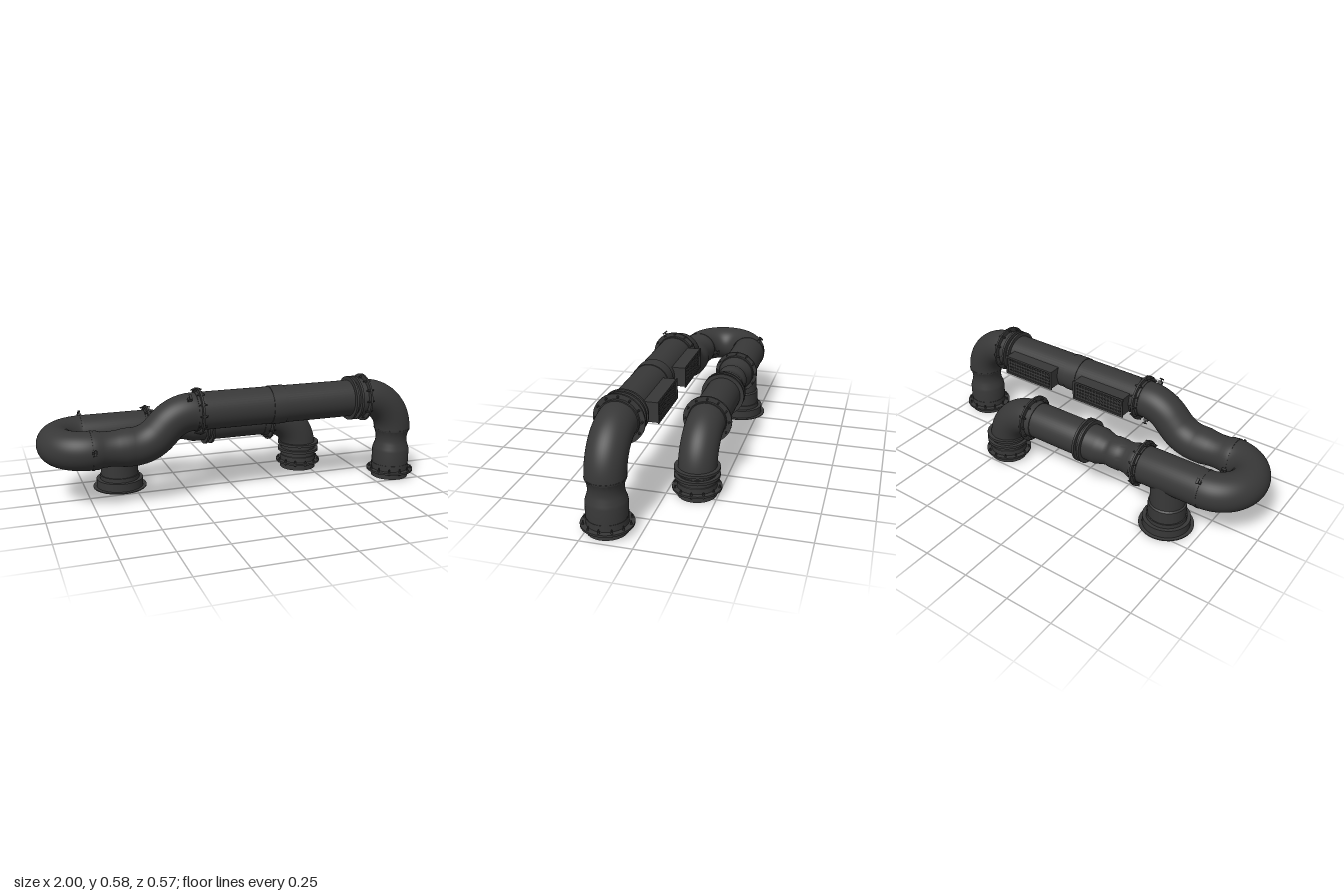
import * as THREE from 'three';
import { toCreasedNormals, mergeGeometries } from 'three/addons/utils/BufferGeometryUtils.js';

const R = 0.095;      // pipe radius
const BEND = 0.19;    // elbow centreline radius
const FZ = 0.159, FY = 0.455;   // front pipe axis
const BZ = -0.145, BY = 0.305;  // rear pipe axis
const V = (x, y, z) => new THREE.Vector3(x, y, z);

// Circular arc: centre + r (u cos t + v sin t)
class Arc extends THREE.Curve {
  constructor(c, u, v, r, angle) {
    super();
    Object.assign(this, { c, u, v, r, angle });
  }
  getPoint(t, target = new THREE.Vector3()) {
    const a = t * this.angle;
    return target.copy(this.c)
      .addScaledVector(this.u, this.r * Math.cos(a))
      .addScaledVector(this.v, this.r * Math.sin(a));
  }
}

export function createModel() {
  const model = new THREE.Group();
  model.name = 'pipework';
  const mat = new THREE.MeshStandardMaterial({ color: 0x383838 });

  const add = (name, geo, pos = V(0, 0, 0), axis = 'y') => {
    const m = new THREE.Mesh(geo, mat);
    m.name = name;
    m.position.copy(pos);
    if (axis === 'x') m.rotation.z = -Math.PI / 2; // local y runs along +x
    model.add(m);
    return m;
  };
  const lathe = (pts, seg = 48) => toCreasedNormals(
    new THREE.LatheGeometry(pts.map(([r, y]) => new THREE.Vector2(r, y)), seg), 0.6);
  const tube = (name, curve, seg = 36) =>
    add(name, new THREE.TubeGeometry(curve, seg, R, 48));

  // Solid collar around a pipe, from a to b along its axis
  const collar = (name, pos, axis, r, a, b) =>
    add(name, lathe([[0.07, a], [r, a], [r, b], [0.07, b]]), pos, axis);

  // Flange disc with a ring of twelve bolts
  const flange = (name, pos, axis, r = 0.124, bolt = 0.04, shift = 0) => {
    collar(name, pos, axis, r, -0.005, 0.005);
    const parts = [];
    for (let i = 0; i < 12; i++) {
      const a = i * Math.PI / 6, x = 0.111 * Math.cos(a), z = 0.111 * Math.sin(a);
      parts.push(new THREE.CylinderGeometry(0.0038, 0.0038, bolt, 8).translate(x, shift, z));
      for (const s of [-1, 1])
        parts.push(new THREE.CylinderGeometry(0.006, 0.006, 0.006, 6).translate(x, s * 0.008, z));
    }
    add(name + 'Bolts', mergeGeometries(parts), pos, axis);
  };

  // Pair of small latches on opposite sides of a joint along x
  const latches = (x, y, z, angle) => {
    for (const k of [0, Math.PI]) {
      const g = new THREE.Group();
      g.name = 'jointLatch';
      const piece = (geo) => g.add(new THREE.Mesh(geo, mat));
      piece(new THREE.BoxGeometry(0.022, 0.014, 0.02).translate(0, 0, R + 0.004));
      piece(new THREE.CylinderGeometry(0.004, 0.004, 0.024, 8).rotateX(Math.PI / 2).translate(0, 0, R + 0.018));
      piece(new THREE.BoxGeometry(0.012, 0.028, 0.006).translate(0, 0, R + 0.026));
      g.position.set(x, y, z);
      g.rotation.x = -(angle + k);
      model.add(g);
    }
  };

  // ---- Front pipe: straight run, elbow and leg ----
  add('frontPipe', lathe([[R, -0.25], [R, 0.685]]), V(0, FY, FZ), 'x');
  collar('frontPipeSleeve', V(0, FY, FZ), 'x', 0.0985, 0.152, 0.228);
  for (const x of [0.605, 0.635]) collar('frontPipeRib', V(x, FY, FZ), 'x', 0.115, -0.006, 0.006);
  collar('frontPipeJoint', V(0, FY, FZ), 'x', 0.1, 0.642, 0.7);
  flange('frontElbowFlange', V(0.68, FY, FZ), 'x');
  collar('frontBendJoint', V(0, FY, FZ), 'x', 0.099, -0.24, -0.2);
  flange('frontBendFlange', V(-0.222, FY, FZ), 'x', 0.118);
  tube('frontElbow', new Arc(V(0.685, FY - BEND, FZ), V(0, 1, 0), V(1, 0, 0), BEND, Math.PI / 2));

  add('frontLeg', lathe([
    [0, 0.1], [0.082, 0.1], [0.082, 0], [0.098, 0], [0.098, 0.075], [0.096, 0.075],
    [0.096, 0.08], [0.098, 0.08], [0.098, 0.15], [0.095, 0.165], [0.086, 0.19],
    [0.083, 0.21], [0.084, 0.235], [0.092, 0.262], [0.096, 0.268], [0.096, 0.273], [0.09, 0.273],
  ]), V(0.875, 0, FZ));
  flange('frontLegFlange', V(0.875, 0.038, FZ), 'y', 0.124, 0.032, 0.007);

  // ---- S-bend down to the lower level ----
  const h = Math.SQRT1_2, sBend = new THREE.CurvePath();
  const upper = new Arc(V(-0.25, FY - BEND, FZ), V(0, 1, 0), V(-1, 0, 0), BEND, Math.PI / 4);
  const lower = new Arc(V(-0.557, BY + BEND, FZ), V(h, -h, 0), V(-h, -h, 0), BEND, Math.PI / 4);
  sBend.add(upper);
  sBend.add(new THREE.LineCurve3(upper.getPoint(1), lower.getPoint(0)));
  sBend.add(lower);
  tube('sBend', sBend, 48);
  add('lowerNeck', lathe([
    [R, -0.757], [R, -0.73], [0.088, -0.71], [0.086, -0.665], [0.089, -0.63], [R, -0.595], [R, -0.555],
  ]), V(0, BY, FZ), 'x');

  // ---- U-bend joining the two runs ----
  const mid = (FZ + BZ) / 2, half = (FZ - BZ) / 2;
  tube('uBend', new Arc(V(-0.753, BY, mid), V(0, 0, 1), V(-1, 0, 0), half, Math.PI), 56);
  for (const z of [FZ, BZ]) collar('uBendJoint', V(-0.755, BY, z), 'x', 0.097, -0.006, 0.006);
  latches(-0.755, BY, FZ, 0.18);
  latches(-0.755, BY, BZ, Math.PI - 0.9);
  latches(-0.28, FY, FZ, 0.9);

  // ---- Rear pipe: tee section, necked reducer, straight run, elbow and leg ----
  add('rearPipe', lathe([
    [R, -0.757], [R, -0.39], [0.09, -0.37], [0.08, -0.34], [0.078, -0.31], [0.082, -0.3],
    [0.082, -0.25], [0.078, -0.24], [0.08, -0.22], [0.09, -0.185], [R, -0.17], [R, 0.268],
  ]), V(0, BY, BZ), 'x');
  for (const x of [-0.102, -0.072]) collar('rearPipeRib', V(x, BY, BZ), 'x', 0.115, -0.006, 0.006);
  collar('teeJoint', V(0, BY, BZ), 'x', 0.099, -0.43, -0.392);
  flange('teeFlange', V(-0.415, BY, BZ), 'x', 0.118);
  collar('rearPipeJoint', V(0, BY, BZ), 'x', 0.099, 0.225, 0.28);
  flange('rearElbowFlange', V(0.262, BY, BZ), 'x');
  tube('rearElbow', new Arc(V(0.265, BY - BEND, BZ), V(0, 1, 0), V(1, 0, 0), BEND, Math.PI / 2));

  add('rearLeg', lathe([
    [0, 0.1], [0.082, 0.1], [0.082, 0], [0.098, 0], [0.098, 0.073], [0.0955, 0.075],
    [0.0955, 0.118], [0.09, 0.118],
  ]), V(0.457, 0, BZ));
  for (const y of [0.106, 0.143]) collar('rearLegRib', V(0.457, y, BZ), 'y', 0.113, -0.007, 0.007);
  flange('rearLegFlange', V(0.457, 0.04, BZ), 'y', 0.122, 0.032, 0.003);

  // ---- Tee branch with its wide foot and stepped underside ----
  add('teeBranch', lathe([
    [0, 0.015], [0.03, 0.015], [0.03, 0.004], [0.048, 0.004], [0.048, 0.015], [0.066, 0.015],
    [0.066, 0.004], [0.085, 0.004], [0.085, 0.012], [0.1, 0.012], [0.1, 0],
    [0.14, 0], [0.14, 0.005], [0.122, 0.005], [0.122, 0.048], [0.103, 0.048], [0.103, 0.07],
    [0.097, 0.07], [0.097, 0.138], [0.089, 0.145], [0.088, 0.29],
  ]), V(-0.567, 0, BZ));

  // ---- Two vent boxes with perforated grilles, on the inner side of the front pipe ----
  const W = 0.305, H = 0.1;
  const rect = (P, w, h2) => P.moveTo(-w / 2, -h2 / 2).lineTo(w / 2, -h2 / 2)
    .lineTo(w / 2, h2 / 2).lineTo(-w / 2, h2 / 2).closePath();
  const frame = (w, h2, t, depth) => {
    const s = rect(new THREE.Shape(), w, h2);
    s.holes.push(rect(new THREE.Path(), w - 2 * t, h2 - 2 * t));
    return new THREE.ExtrudeGeometry(s, { depth, bevelEnabled: false });
  };
  const plate = rect(new THREE.Shape(), W - 0.006, H - 0.006);
  for (let i = 0; i < 16; i++) for (let j = 0; j < 4; j++)
    plate.holes.push(new THREE.Path().absarc((i - 7.5) * 0.0175, (j - 1.5) * 0.0195, 0.005, 0, Math.PI * 2, true));
  const grille = new THREE.ExtrudeGeometry(plate, { depth: 0.004, bevelEnabled: false, curveSegments: 4 });
  for (const x of [-0.036, 0.42]) {
    add('ventBox', frame(W, H, 0.004, 0.085), V(x, 0.456, 0.01));
    add('ventRim', frame(W + 0.008, H + 0.008, 0.011, 0.005), V(x, 0.456, 0.006));
    add('ventGrille', grille, V(x, 0.456, 0.014));
  }
  return model;
}
